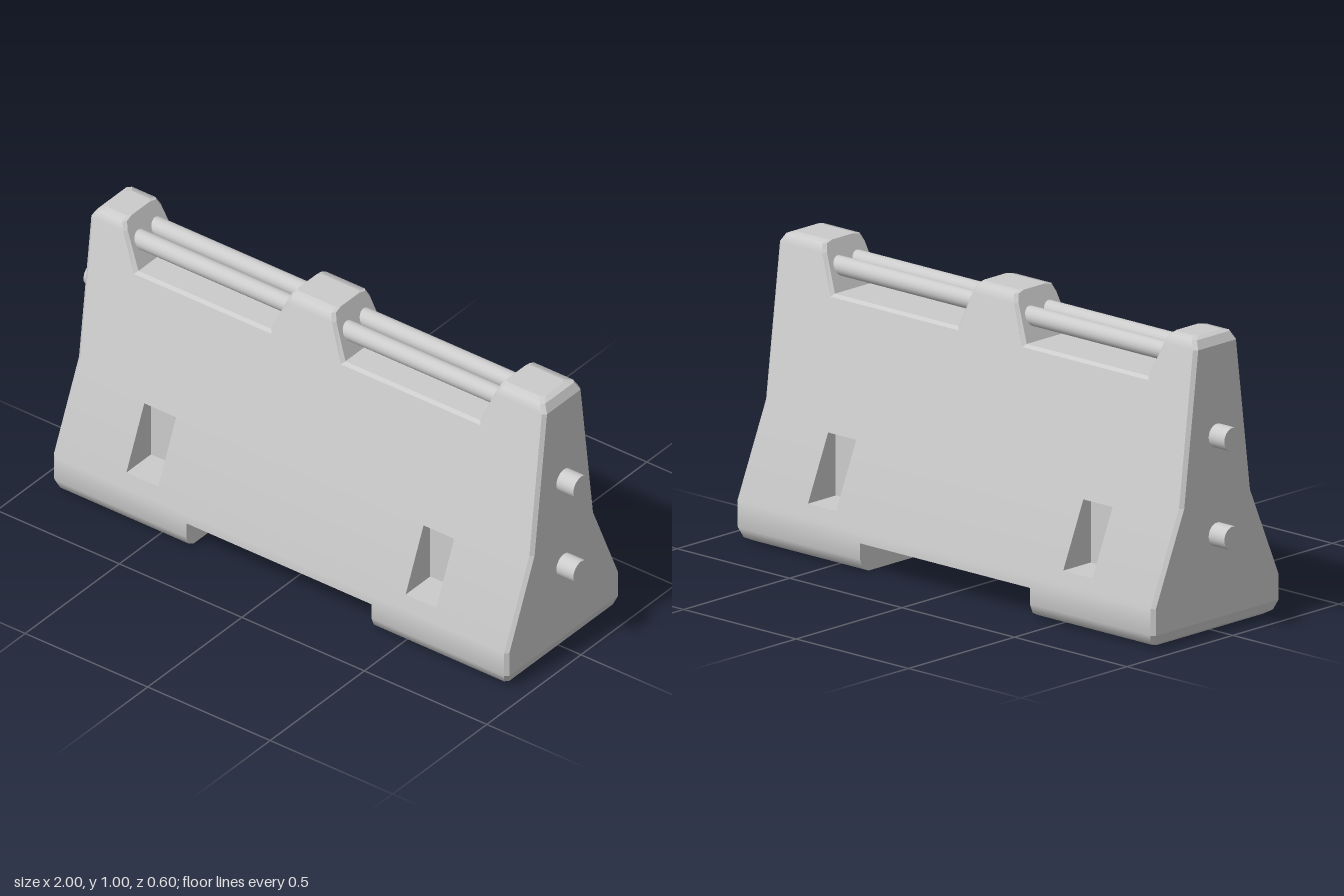
import * as THREE from 'three';

// Cross-section levels: height, half depth, half length
const LEVELS = [
  [0, 0.26, 0.885], [0.013, 0.287, 0.905], [0.045, 0.3, 0.917], [0.135, 0.3, 0.917],
  [0.445, 0.166, 0.917], [0.965, 0.1, 0.917], [0.993, 0.088, 0.9], [1.0, 0.06, 0.88],
];
const POCKETS = [[-0.64, -0.51], [0.5, 0.625]];
const POCKET_Y = [0.18, 0.4];
const POCKET_BACK = 0.15;
const BEVEL = 0.011;

const material = new THREE.MeshStandardMaterial({ color: 0xcccccc, side: THREE.DoubleSide });
const lerp = THREE.MathUtils.lerp;

function bandOf(y) {
  let i = 0;
  while (i < LEVELS.length - 2 && y > LEVELS[i + 1][0]) i++;
  return [i, (y - LEVELS[i][0]) / (LEVELS[i + 1][0] - LEVELS[i][0])];
}

function halfDepth(y) {
  const [i, t] = bandOf(y);
  return lerp(LEVELS[i][1], LEVELS[i + 1][1], t);
}

// Smooth normals of the front wall, averaged at each level
const bandNormals = LEVELS.slice(1).map(([y, z], i) =>
  new THREE.Vector3(0, LEVELS[i][1] - z, y - LEVELS[i][0]).normalize());
const levelNormals = LEVELS.map((_, i) =>
  bandNormals[Math.max(i - 1, 0)].clone().add(bandNormals[Math.min(i, bandNormals.length - 1)]).normalize());

function wallNormal(y) {
  const [i, t] = bandOf(y);
  return levelNormals[i].clone().lerp(levelNormals[i + 1], t).normalize();
}

// Insert a point wherever an outline edge crosses a level
function splitAtLevels(points) {
  return points.flatMap((a, k) => {
    const b = points[(k + 1) % points.length];
    const cuts = LEVELS.map((l) => (l[0] - a[1]) / (b[1] - a[1])).filter((t) => t > 1e-4 && t < 1 - 1e-4);
    cuts.sort((s, t) => s - t);
    return [a, ...cuts.map((t) => a.map((v, j) => lerp(v, b[j], t)))];
  });
}

// Keep the part of a convex polygon above (s = 1) or below (s = -1) a height
function clip(poly, y, s) {
  return poly.flatMap((a, k) => {
    const b = poly[(k + 1) % poly.length];
    const da = s * (a[1] - y), db = s * (b[1] - y);
    const out = da >= 0 ? [a] : [];
    if (da * db < 0) out.push([lerp(a[0], b[0], da / (da - db)), y]);
    return out;
  });
}

// Outline points: x, y and the outward offset of the rim
function makeOutline() {
  const b = 0.01;
  const notch = (l, r, lb, rb) => [[r + b, 1, -b, 0], [rb + b, 0.832, -b, b], [lb - b, 0.832, b, b], [l - b, 1, b, 0]];
  return splitAtLevels([
    ...LEVELS.map(([y, , x]) => [x, y, 0.013, 0]),
    ...notch(0.057, 0.735, 0.12, 0.67),
    ...notch(-0.797, -0.117, -0.725, -0.183),
    ...LEVELS.slice().reverse().map(([y, , x]) => [-x, y, -0.013, 0]),
    [-0.38, 0, 0, 0], [-0.38, 0.1, 0, 0], [0.375, 0.1, 0, 0], [0.375, 0, 0, 0],
  ]);
}

// Front or back wall: flat outline with pocket holes, bent to the profile
function wallGeometry(outline, side) {
  const shape = new THREE.Shape(outline.map(([x, y]) => new THREE.Vector2(x, y)));
  for (const [l, r] of POCKETS) {
    const [lo, hi] = POCKET_Y;
    shape.holes.push(new THREE.Path([[l, lo], [l, hi], [r, hi], [r, lo]].map((p) => new THREE.Vector2(...p))));
  }
  const flat = new THREE.ShapeGeometry(shape).toNonIndexed().attributes.position;
  const pos = [], nor = [];
  for (let k = 0; k < flat.count; k += 3) {
    const tri = [0, 1, 2].map((j) => [flat.getX(k + j), flat.getY(k + j)]);
    for (let i = 0; i < LEVELS.length - 1; i++) {
      const poly = clip(clip(tri, LEVELS[i][0], 1), LEVELS[i + 1][0], -1);
      for (let j = 1; j < poly.length - 1; j++) {
        const corners = side > 0 ? [poly[0], poly[j], poly[j + 1]] : [poly[0], poly[j + 1], poly[j]];
        for (const [x, y] of corners) {
          const n = wallNormal(y);
          pos.push(x, y, side * halfDepth(y));
          nor.push(n.x, n.y, side * n.z);
        }
      }
    }
  }
  const g = new THREE.BufferGeometry();
  g.setAttribute('position', new THREE.Float32BufferAttribute(pos, 3));
  g.setAttribute('normal', new THREE.Float32BufferAttribute(nor, 3));
  return g;
}

// Flat-shaded geometry from a list of quads
function quadGeometry(quads) {
  const g = new THREE.BufferGeometry();
  const pos = quads.flatMap(([a, b, c, d]) => [a, b, c, a, c, d].flat());
  g.setAttribute('position', new THREE.Float32BufferAttribute(pos, 3));
  g.computeVertexNormals();
  return g;
}

// Ends, top, notch surfaces and their chamfers; the feet stay open below
function rimGeometry(outline) {
  const quads = [];
  const face = ([x, y], s) => [x, y, s * halfDepth(y)];
  const rim = ([x, y, ox, oy], s) => [x + ox, y + oy, s * (halfDepth(y) - (ox || oy ? BEVEL : 0))];
  outline.forEach((p, k) => {
    const q = outline[(k + 1) % outline.length];
    if (p[1] === 0 && q[1] === 0) return;
    quads.push([rim(p, 1), rim(p, -1), rim(q, -1), rim(q, 1)]);
    if (p[2] || p[3] || q[2] || q[3]) {
      quads.push([face(p, 1), rim(p, 1), rim(q, 1), face(q, 1)]);
      quads.push([rim(p, -1), face(p, -1), face(q, -1), rim(q, -1)]);
    }
  });
  return quadGeometry(quads);
}

// Recessed forklift pocket, open towards the sloped wall
function pocketGeometry([l, r], side) {
  const [lo, hi] = POCKET_Y;
  const corners = [[l, lo], [r, lo], [r, hi], [l, hi]];
  const outer = corners.map(([x, y]) => [x, y, side * halfDepth(y)]);
  const inner = corners.map(([x, y]) => [x, y, side * POCKET_BACK]);
  const quads = [inner, ...corners.map((_, i) => {
    const j = (i + 1) % 4;
    return [outer[i], outer[j], inner[j], inner[i]];
  })];
  return quadGeometry(side > 0 ? quads : quads.map((q) => q.slice().reverse()));
}

export function createModel() {
  const model = new THREE.Group();
  model.name = 'roadBarrier';
  const add = (name, geometry) => {
    const mesh = new THREE.Mesh(geometry, material);
    mesh.name = name;
    model.add(mesh);
    return mesh;
  };
  const rod = (name, x0, x1, y, z, radius) => {
    const g = new THREE.CylinderGeometry(radius, radius, x1 - x0, 24).rotateZ(Math.PI / 2);
    add(name, g).position.set((x0 + x1) / 2, y, z);
  };

  // Hollow body
  const outline = makeOutline();
  add('frontWall', wallGeometry(outline, 1));
  add('backWall', wallGeometry(outline, -1));
  add('endsAndTop', rimGeometry(outline));

  for (const side of [1, -1]) {
    for (const span of POCKETS) add(side > 0 ? 'frontPocket' : 'backPocket', pocketGeometry(span, side));
    // Lifting bars across the top notches
    rod('liftingBar', -0.785, -0.13, 0.918, side * 0.045, 0.032);
    rod('liftingBar', 0.07, 0.725, 0.918, side * 0.045, 0.032);
  }

  // Connector pegs on both ends
  for (const y of [0.66, 0.327]) {
    rod('leftPeg', 0.92, 1, y, 0, 0.04);
    rod('rightPeg', -1, -0.92, y, 0, 0.04);
  }
  return model;
}
